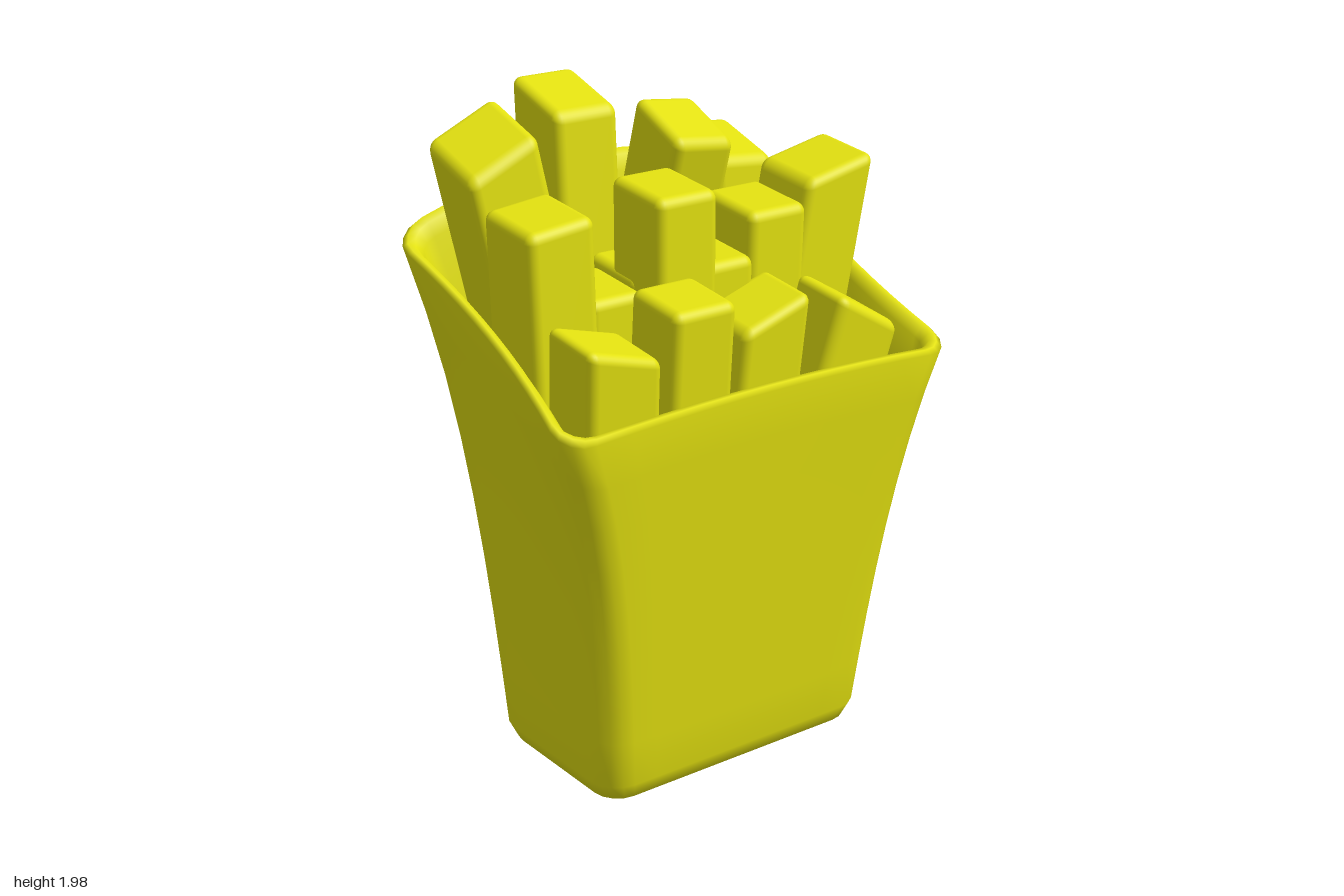
import * as THREE from 'three';
import { RoundedBoxGeometry } from 'three/addons/geometries/RoundedBoxGeometry.js';

const yellow = new THREE.MeshStandardMaterial({ color: 0xe2e010 });
yellow.name = 'yellow';

// Rounded rectangle outline as [x, z] pairs, with subdivided sides
function outline(hx, zf, zb, r) {
  const hz = (zf - zb) / 2, zc = (zf + zb) / 2;
  const arcs = [0, 1, 2, 3].map((q) => {
    const sx = q === 0 || q === 3 ? 1 : -1, sz = q < 2 ? 1 : -1;
    return [0, 1, 2, 3, 4].map((k) => {
      const a = (q + k / 4) * Math.PI / 2;
      return [sx * (hx - r) + r * Math.cos(a), zc + sz * (hz - r) + r * Math.sin(a)];
    });
  });
  const pts = [];
  arcs.forEach((arc, q) => {
    pts.push(...arc);
    const a = arc[4], b = arcs[(q + 1) % 4][0];
    for (let k = 1; k < 10; k++) {
      pts.push([a[0] + (b[0] - a[0]) * k / 10, a[1] + (b[1] - a[1]) * k / 10]);
    }
  });
  return pts;
}

// Rim height: low in front, high at the back, arched across the width
function rimHeight(x, z) {
  const s = THREE.MathUtils.clamp((0.42 - z) / 0.8, 0, 1.05);
  const arch = 0.025 + 0.1 * THREE.MathUtils.smoothstep(s, 0.7, 1);
  return 1.21 + 0.355 * s + arch * Math.max(0, 1 - (x / 0.64) ** 2);
}

// One carton section: u runs from the base (0) to the rim (1)
function section(u, inset = 0, dy = 0, r = 0.09) {
  const hx = 0.47 + 0.1 * u + 0.095 * u ** 3 - inset;
  const zf = 0.31 + 0.12 * u - inset;
  const zb = -0.27 - 0.1 * u - 0.06 * u ** 3 + inset;
  return outline(hx, zf, zb, r).map(([x, z]) => {
    const pinch = 0.035 * u ** 4 * Math.max(0, 1 - (z / 0.36) ** 2);
    const y = 0.1 + u * (rimHeight(x, z) - 0.1) + dy;
    return [x - Math.sign(x) * pinch * Math.min(1, (x / hx) ** 4), y, z];
  });
}

// Closed skin over a list of equal-length rings
function skin(rings) {
  const n = rings[0].length, index = [];
  for (let i = 0; i < rings.length - 1; i++) {
    for (let j = 0; j < n; j++) {
      const k = (j + 1) % n;
      const a = i * n + j, b = i * n + k, c = b + n, d = a + n;
      index.push(a, c, b, a, d, c);
    }
  }
  const g = new THREE.BufferGeometry();
  g.setAttribute('position', new THREE.Float32BufferAttribute(rings.flat(2), 3));
  g.setIndex(index);
  g.computeVertexNormals();
  return g;
}

function makeCarton() {
  const point = (y) => section(0).map(() => [0, y, 0.02]);
  const rings = [
    // Slightly pointed underside with a rounded edge
    point(0), section(0, 0.22, -0.083, 0.03),
    section(0, 0.06, -0.067, 0.07), section(0, 0.022, -0.05, 0.08),
  ];
  // Outer wall
  for (let i = 0; i <= 8; i++) rings.push(section(i / 8));
  // Rounded lip, then the inner wall and inner floor
  rings.push(section(1, 0.012, 0.012, 0.085), section(1, 0.03, 0.004, 0.075));
  for (let i = 0; i <= 4; i++) rings.push(section(0.98 - i * 0.08, 0.042, 0, 0.065));
  rings.push(point(0.85));
  const mesh = new THREE.Mesh(skin(rings), yellow);
  mesh.name = 'carton';
  return mesh;
}

// Rows of fries share depth (z), thickness, length, lean and end cut along z.
// Each stick: [x, top y, z offset, width, sideways lean, sideways end cut]
const rows = [
  { name: 'backFries', z: -0.22, depth: 0.23, length: 0.75, lean: -0.05, cut: -0.32, sticks: [
    [-0.49, 1.87, 0, 0.22, -0.2, 0.45],
    [-0.195, 1.955, -0.04, 0.205, 0, 0],
    [0.315, 1.755, 0.01, 0.205, -0.02, -0.1],
    [0.49, 1.55, 0.045, 0.19, 0.1, -0.1],
  ] },
  { name: 'leaningFry', z: -0.11, depth: 0.21, length: 0.55, lean: 0.25, cut: -0.45, sticks: [
    [0.11, 1.86, 0, 0.2, 0.04, -0.12],
  ] },
  { name: 'middleFries', z: 0.07, depth: 0.23, length: 0.7, lean: 0, cut: -0.1, sticks: [
    [0.455, 1.735, -0.015, 0.24, 0.2, 0.2],
    [0.225, 1.655, -0.01, 0.2, 0.03, 0],
    [0.04, 1.54, 0, 0.18, 0, 0],
    [-0.1, 1.75, 0.005, 0.2, 0, 0],
    [-0.12, 1.51, -0.1, 0.17, 0, 0],
    [-0.29, 1.485, -0.06, 0.18, 0, 0],
    [-0.47, 1.715, -0.05, 0.21, -0.03, 0.1],
  ] },
  { name: 'frontFries', z: 0.265, depth: 0.21, length: 0.5, lean: 0.07, cut: -0.12, sticks: [
    [-0.43, 1.415, -0.005, 0.23, -0.02, -0.28],
    [-0.19, 1.505, 0.02, 0.205, 0, 0],
    [0.07, 1.435, 0, 0.23, 0.06, 0.32],
    [0.405, 1.375, 0, 0.21, 0.28, -0.6],
  ] },
];

// Rounded stick, sheared so that it leans and its end is cut at a slope
function makeFry(row, [x, y, dz, width, leanX, cutX]) {
  const g = new RoundedBoxGeometry(width, row.length, row.depth, 3, 0.028);
  g.translate(0, -row.length / 2, 0);
  g.applyMatrix4(new THREE.Matrix4().set(
    1, leanX, 0, x,
    cutX, 1, row.cut, y,
    0, row.lean, 1, row.z + dz,
    0, 0, 0, 1,
  ));
  const mesh = new THREE.Mesh(g, yellow);
  mesh.name = 'fry';
  return mesh;
}

export function createModel() {
  const model = new THREE.Group();
  model.name = 'cartonOfFries';
  model.add(makeCarton());
  rows.forEach((row) => {
    const group = new THREE.Group();
    group.name = row.name;
    row.sticks.forEach((stick) => group.add(makeFry(row, stick)));
    model.add(group);
  });
  return model;
}
